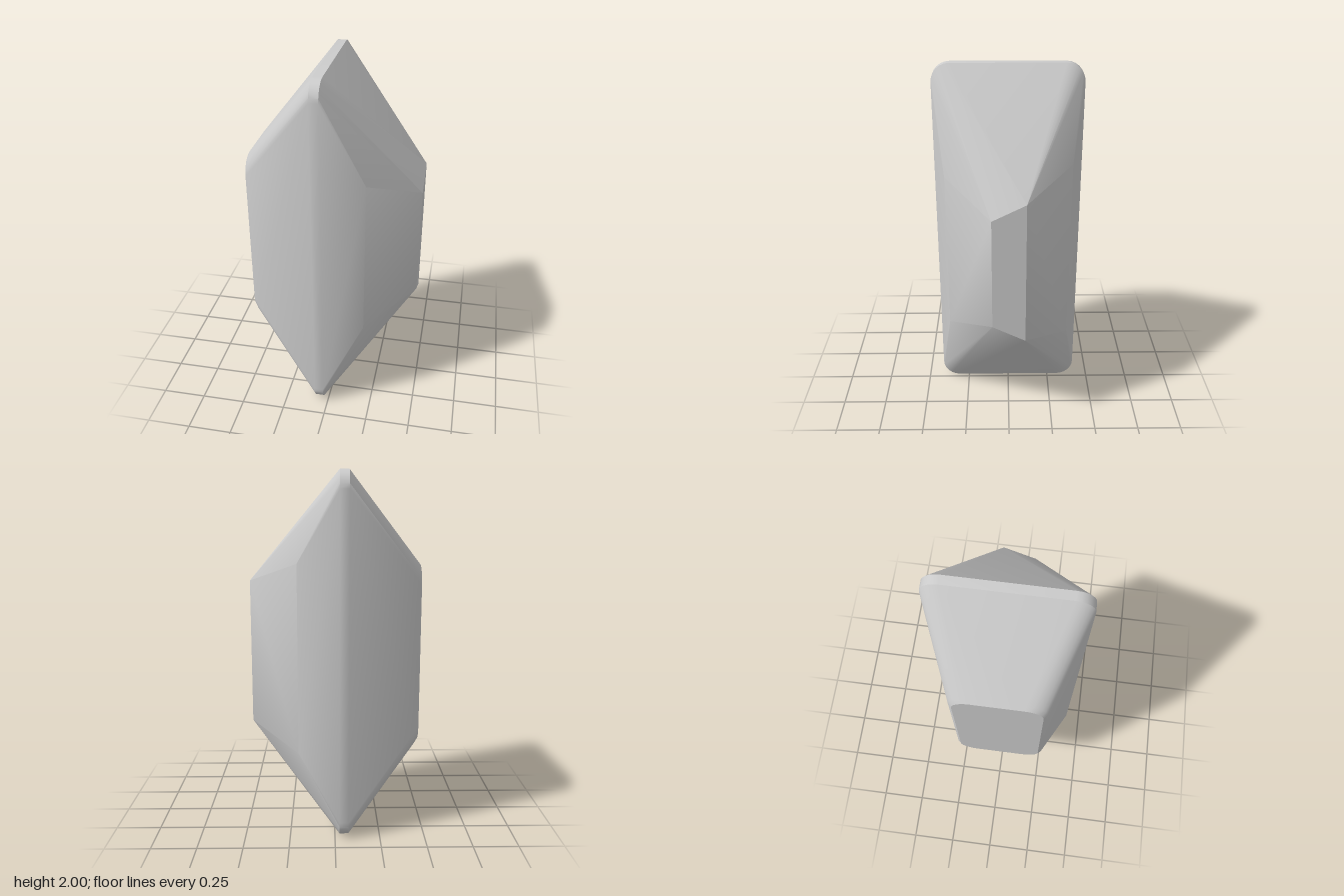
import * as THREE from 'three';
import { ConvexGeometry } from 'three/addons/geometries/ConvexGeometry.js';
import { toCreasedNormals } from 'three/addons/utils/BufferGeometryUtils.js';

// Rounded rectangle in the y-z plane at a given x, centred on y = 1
function roundedLoop(x, halfHeight, halfDepth, radius, steps = 6) {
  const points = [];
  for (const [sy, sz] of [[1, 1], [1, -1], [-1, -1], [-1, 1]]) {
    for (let i = 0; i <= steps; i++) {
      const a = (i / steps) * Math.PI / 2;
      points.push(new THREE.Vector3(
        x,
        1 + sy * (halfHeight - radius + radius * Math.sin(a)),
        sz * (halfDepth - radius + radius * Math.cos(a))
      ));
    }
  }
  return points;
}

// Two corners mirrored about the middle height
const mirrored = (x, halfHeight, z) =>
  [1, -1].map((s) => new THREE.Vector3(x, 1 + s * halfHeight, z));

export function createModel() {
  const group = new THREE.Group();
  group.name = 'cutGem';
  const stone = new THREE.MeshStandardMaterial({ color: 0xcccccc });
  stone.name = 'grey stone';

  const points = [
    // flat face with softened sides
    ...roundedLoop(-0.47, 0.5, 0.237, 0.1),
    ...roundedLoop(-0.45, 0.524, 0.256, 0.1),
    // thin girdle
    ...roundedLoop(-0.075, 1, 0.41, 0.1),
    ...roundedLoop(-0.025, 1, 0.41, 0.1),
    // side facet corners
    ...mirrored(0.2, 0.45, 0.34),
    ...mirrored(0.2, 0.52, -0.34),
    // narrow skewed end facet
    ...mirrored(0.47, 0.315, 0.09),
    ...mirrored(0.47, 0.405, -0.09),
  ];

  const body = new THREE.Mesh(
    toCreasedNormals(new ConvexGeometry(points), THREE.MathUtils.degToRad(32)),
    stone
  );
  body.name = 'gemBody';
  group.add(body);
  return group;
}
